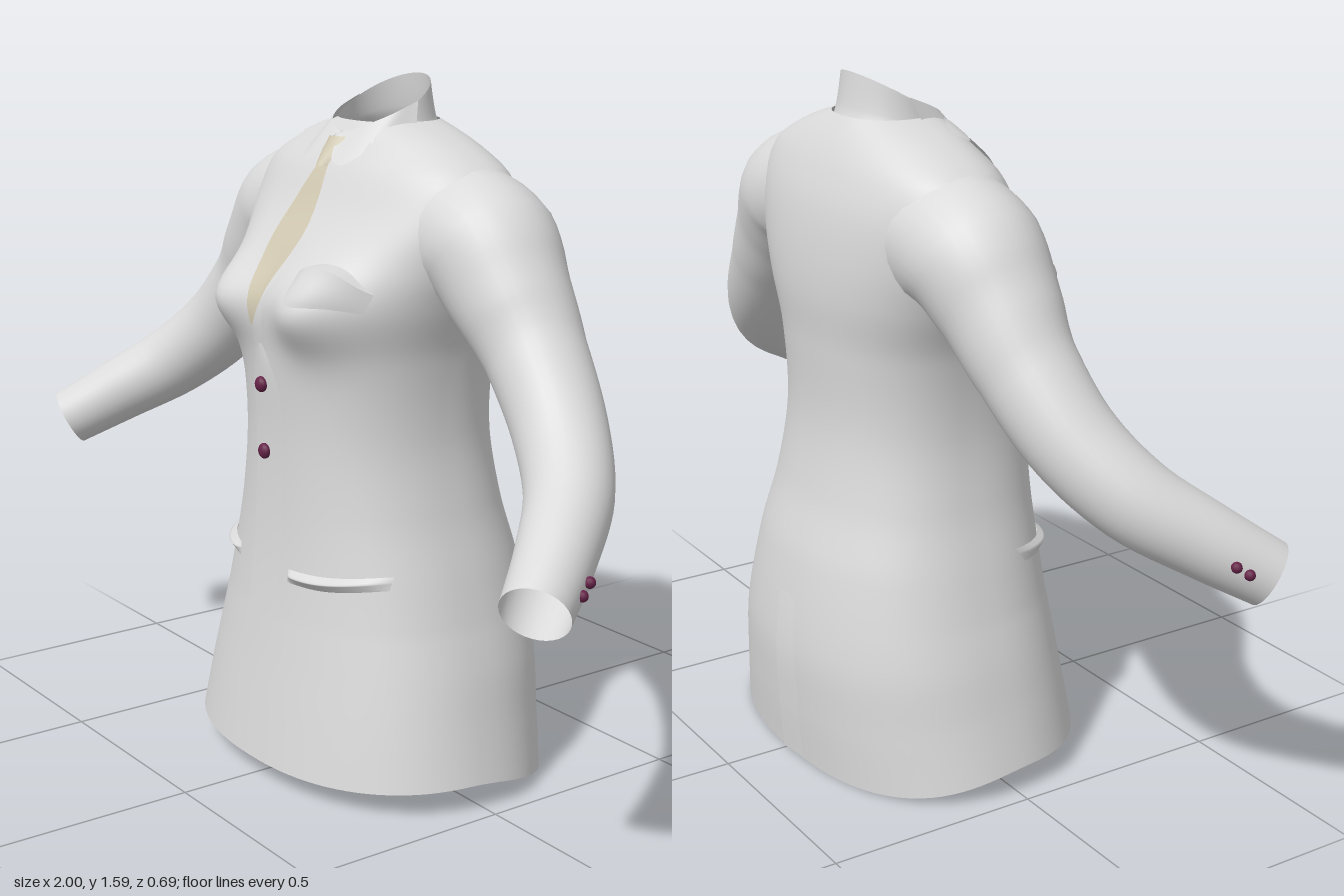
import * as THREE from 'three';
import { mergeVertices } from 'three/addons/utils/BufferGeometryUtils.js';

const mat = (name, color) => {
  const m = new THREE.MeshStandardMaterial({ color, side: THREE.DoubleSide });
  m.name = name;
  return m;
};

// Body sections: y, half width, front z, back z, z of the widest point
const ROWS = [
  [0, 0.465, 0.325, -0.34, -0.02], [0.15, 0.435, 0.305, -0.353, -0.02],
  [0.3, 0.405, 0.285, -0.357, -0.03], [0.5, 0.352, 0.262, -0.33, -0.03],
  [0.65, 0.31, 0.252, -0.29, -0.03], [0.82, 0.283, 0.25, -0.265, -0.03],
  [1.0, 0.295, 0.26, -0.27, -0.04], [1.12, 0.335, 0.262, -0.28, -0.06],
  [1.22, 0.37, 0.21, -0.277, -0.07], [1.32, 0.39, 0.145, -0.262, -0.07],
  [1.4, 0.36, 0.1, -0.235, -0.07], [1.45, 0.27, 0.065, -0.21, -0.07],
  [1.48, 0.19, 0.045, -0.19, -0.07], [1.5, 0.12, 0.03, -0.175, -0.07],
];
const POWER = 2.3;

// Smooth interpolation of the sections at a height
function section(y) {
  let i = 0;
  while (i < ROWS.length - 2 && y > ROWS[i + 1][0]) i++;
  const slope = (k, c) => {
    const a = ROWS[Math.max(k - 1, 0)], b = ROWS[Math.min(k + 1, ROWS.length - 1)];
    return (b[c] - a[c]) / (b[0] - a[0]);
  };
  const a = ROWS[i], b = ROWS[i + 1], h = b[0] - a[0];
  const t = THREE.MathUtils.clamp((y - a[0]) / h, 0, 1), t2 = t * t, t3 = t2 * t;
  return [1, 2, 3, 4].map((c) => (2 * t3 - 3 * t2 + 1) * a[c] + (t3 - 2 * t2 + t) * h * slope(i, c)
    + (3 * t2 - 2 * t3) * b[c] + (t3 - t2) * h * slope(i + 1, c));
}

const bust = (x, y) => 0.065 * Math.exp(-(((Math.abs(x) - 0.16) / 0.1) ** 2) - ((y - 1.11) / 0.09) ** 2);

// Depth of the body surface, front (side 1) or back (side -1)
function bodyZ(x, y, side = 1) {
  const [w, zf, zb, zc] = section(y);
  const k = Math.max(0, 1 - Math.min(1, Math.abs(x) / w) ** POWER) ** (1 / POWER);
  return side > 0 ? zc + (zf - zc) * k + bust(x, y) * k : zc + (zb - zc) * k;
}

// Grid surface from a function of u and v
function surface(nu, nv, fn) {
  const pos = [], idx = [];
  for (let j = 0; j <= nv; j++)
    for (let i = 0; i <= nu; i++) pos.push(...fn(i / nu, j / nv));
  for (let j = 0; j < nv; j++)
    for (let i = 0; i < nu; i++) {
      const a = j * (nu + 1) + i, b = a + 1, c = a + nu + 1, d = c + 1;
      idx.push(a, b, d, a, d, c);
    }
  let g = new THREE.BufferGeometry();
  g.setAttribute('position', new THREE.Float32BufferAttribute(pos, 3));
  g.setIndex(idx);
  g = mergeVertices(g, 1e-5);
  g.computeVertexNormals();
  return g;
}

const curve3 = (pts) => new THREE.CatmullRomCurve3(pts.map((p) => new THREE.Vector3(p[0], p[1], p[2] || 0)));

// Cloth strip between two edges, lying on the body with a given lift
function strip(edgeA, edgeB, lift, side = 1, nu = 8, nv = 28) {
  const a = curve3(edgeA), b = curve3(edgeB);
  return surface(nu, nv, (u, v) => {
    const p = a.getPoint(v).lerp(b.getPoint(v), u);
    return [p.x, p.y, bodyZ(p.x, p.y, side) + side * (typeof lift === 'function' ? lift(u, v) : lift)];
  });
}

const mirrorX = (pts, s) => pts.map(([x, y, z]) => [s * x, y, z]);

export function createModel() {
  const model = new THREE.Group();
  const cloth = mat('light grey cloth', 0xdadada);
  const cream = mat('cream tie', 0xcfc7b0);
  const plum = mat('plum button', 0x662348);
  const add = (name, geo, material = cloth) => {
    const m = new THREE.Mesh(geo, material);
    m.name = name;
    model.add(m);
    return m;
  };

  // Body, with a hem that drops towards the back
  add('jacketBody', surface(96, 90, (u, v) => {
    const s = 1.5 * v, [w] = section(s), a = -u * Math.PI * 2;
    const c = Math.cos(a), n = Math.sin(a);
    const x = w * Math.sign(c) * Math.abs(c) ** (2 / POWER);
    const [, zf, zb, zc] = section(s);
    const k = Math.abs(n) ** (2 / POWER);
    const z = n >= 0 ? zc + (zf - zc) * k + bust(x, s) * k : zc + (zb - zc) * k;
    const hem = 0.072 - 0.062 * THREE.MathUtils.smoothstep(-z, -0.05, 0.34) - 0.015 * (Math.max(z, 0) / 0.32) ** 2;
    return [x, s + hem * Math.max(0, 1 - s / 0.4), z];
  }));

  // Neck stand, tall at the back
  add('collarStand', surface(48, 6, (u, v) => {
    const a = u * Math.PI * 2, c = Math.cos(a), r = THREE.MathUtils.lerp(0.135, 0.11, Math.sqrt(v));
    const y = THREE.MathUtils.lerp(1.465 - 0.02 * c, 1.535 - 0.06 * c, v);
    return [r * Math.sin(a), y, -0.055 + r * 0.95 * c];
  }));

  const sleevePath = [[0.24, 1.275, -0.07], [0.36, 1.245, -0.07], [0.455, 1.15, -0.062], [0.54, 1.05, -0.055],
    [0.66, 0.92, -0.02], [0.77, 0.82, 0.05], [0.86, 0.74, 0.16], [0.935, 0.665, 0.275]];
  const sleeveRadii = [0.16, 0.155, 0.13, 0.11, 0.1, 0.092, 0.082, 0.072];

  for (const s of [1, -1]) {
    const side = s > 0 ? 'left' : 'right';

    // Sleeve, tapering along a bent path
    const path = curve3(mirrorX(sleevePath, s)), n = 42;
    const frames = path.computeFrenetFrames(n);
    add(side + 'Sleeve', surface(32, n, (u, v) => {
      const k = Math.round(v * n), f = v * 7, i = Math.min(6, Math.floor(f));
      const r = THREE.MathUtils.lerp(sleeveRadii[i], sleeveRadii[i + 1], f - i);
      const a = u * Math.PI * 2;
      return path.getPoint(v).addScaledVector(frames.normals[k], r * Math.cos(a))
        .addScaledVector(frames.binormals[k], r * Math.sin(a)).toArray();
    }));

    // Cuff buttons
    for (const [x, y, z] of [[0.972, 0.695, 0.19], [0.962, 0.714, 0.163]]) {
      const b = add(side + 'CuffButton', new THREE.SphereGeometry(0.012, 10, 8), plum);
      b.position.set(s * x, y, z);
    }

    // Lapel and the collar piece above its notch
    add(side + 'Lapel', strip(
      mirrorX([[0.105, 1.46], [0.085, 1.36], [0.05, 1.22], [-0.025 * s, 1.07], [-0.035 * s, 1.02]], s),
      mirrorX([[0.205, 1.445], [0.185, 1.36], [0.115, 1.22], [0.03, 1.09], [-0.025 * s, 1.01]], s), 0.008));
    add(side + 'UpperCollar', strip(
      mirrorX([[0.11, 1.493], [0.11, 1.48], [0.11, 1.468]], s),
      mirrorX([[0.16, 1.485], [0.2, 1.472], [0.212, 1.458]], s), 0.009, 1, 8, 6));

    // Folded shirt collar leaf
    const top = curve3(mirrorX([[0.11, 1.545, -0.07], [0.102, 1.52, -0.01], [0.075, 1.5, 0.03], [0.04, 1.485, 0.05], [0.003, 1.475, 0.06]], s));
    const low = curve3(mirrorX([[0.13, 1.49, -0.05], [0.112, 1.45, 0.055], [0.075, 1.412, 0.112], [0.038, 1.42, 0.112], [0.006, 1.468, 0.075]], s));
    add(side + 'CollarLeaf', surface(20, 5, (u, v) => top.getPoint(u).lerp(low.getPoint(u), v).toArray()));
  }

  // Tie blade and knot
  add('tieBlade', strip([[-0.02, 1.41], [-0.045, 1.34], [-0.062, 1.26], [-0.045, 1.16], [-0.028, 1.065]],
    [[0.018, 1.41], [0.035, 1.34], [0.045, 1.26], [0.015, 1.16], [-0.022, 1.065]], 0.013), cream);
  add('tieKnot', strip([[-0.03, 1.468], [-0.03, 1.44], [-0.018, 1.405]],
    [[0.03, 1.468], [0.03, 1.44], [0.018, 1.405]], (u) => 0.016 + 0.014 * Math.sin(u * Math.PI), 1, 8, 6), cream);

  // Overlapping front edge with a rounded lower corner, and the back vent
  add('frontOverlap', strip([[-0.035, 0.07], [-0.062, 0.11], [-0.068, 0.3], [-0.062, 0.7], [-0.055, 0.92], [-0.035, 1.02]],
    [[0.03, 0.07], [0.035, 0.11], [0.035, 0.3], [0.035, 0.7], [0.03, 0.92], [-0.02, 1.02]],
    (u) => 0.007 * (1 - u), 1, 6, 40));
  add('backVent', strip([[0, 0.015], [0, 0.2], [0, 0.42]], [[-0.07, 0.015], [-0.07, 0.2], [-0.05, 0.42]],
    (u) => 0.008 * (1 - u), -1));

  // Hip pocket welts and the raised breast pocket
  const ridge = (h) => (u, v) => 0.002 + h * Math.sin(Math.PI * Math.min(1, v * 1.02)) ** 0.3 * (u < 0.4 ? u / 0.4 : (1 - u) / 0.6);
  add('rightPocket', strip([[-0.325, 0.54], [-0.24, 0.525], [-0.15, 0.52]],
    [[-0.325, 0.505], [-0.24, 0.49], [-0.15, 0.49]], ridge(0.02), 1, 10, 16));
  add('leftPocket', strip([[0.07, 0.515], [0.18, 0.52], [0.3, 0.535]],
    [[0.07, 0.485], [0.18, 0.488], [0.3, 0.505]], ridge(0.02), 1, 10, 16));
  add('breastPocket', strip([[0.095, 1.195], [0.15, 1.213], [0.21, 1.205], [0.27, 1.16]],
    [[0.11, 1.13], [0.15, 1.13], [0.21, 1.13], [0.26, 1.12]],
    (u, v) => 0.002 + 0.04 * Math.sin(Math.PI * v) * (1 - u), 1, 10, 16));
  add('breastPocketMouth', strip([[0.095, 1.195], [0.15, 1.213], [0.21, 1.205], [0.27, 1.16]],
    [[0.095, 1.197], [0.15, 1.216], [0.21, 1.208], [0.27, 1.162]],
    (u, v) => 0.002 + 0.04 * Math.sin(Math.PI * v) * (1 - u), 1, 4, 16));

  // Front buttons
  for (const y of [0.925, 0.77]) {
    const b = add('frontButton', new THREE.SphereGeometry(0.018, 14, 10), plum);
    b.scale.z = 0.7;
    b.position.set(-0.025, y, bodyZ(-0.025, y) + 0.008);
  }
  return model;
}
